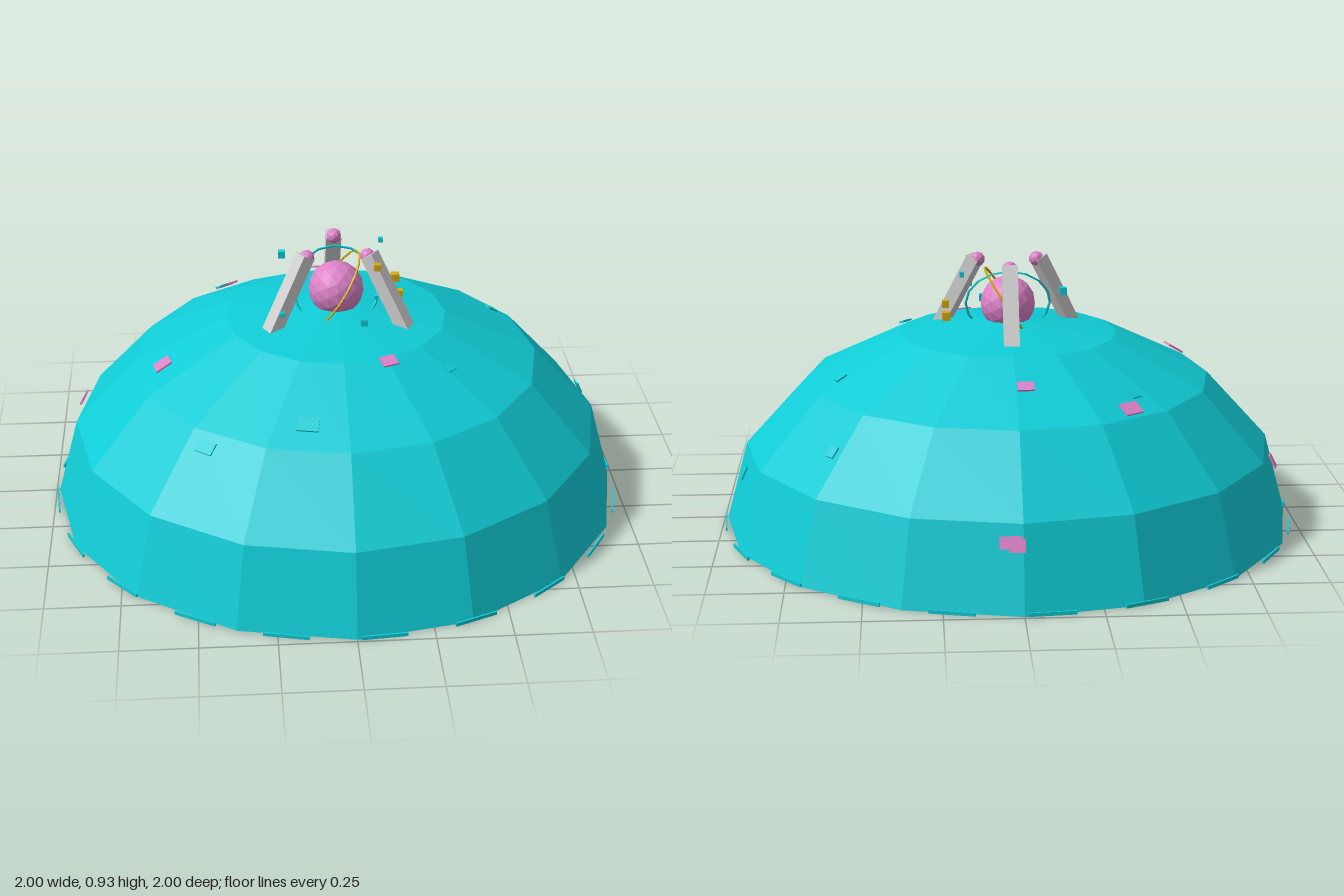
import * as THREE from 'three';

const R = 0.99, H = 0.72; // dome radius and height

function material(name, color, side = THREE.FrontSide) {
  const m = new THREE.MeshStandardMaterial({ color, flatShading: true, side });
  m.name = name;
  return m;
}

export function createModel() {
  const model = new THREE.Group();
  model.name = 'domeGenerator';
  const teal = material('teal', 0x10ccd6);
  const tealShell = material('tealShell', 0x10ccd6, THREE.DoubleSide);
  const pink = material('pink', 0xdd82c8);
  const gold = material('gold', 0xd4ac10);
  const grey = material('lightGrey', 0xd0d0d0);
  const dark = material('darkGrey', 0x222222);

  function add(name, geometry, mat, x = 0, y = 0, z = 0, parent = model) {
    const mesh = new THREE.Mesh(geometry, mat);
    mesh.name = name;
    mesh.position.set(x, y, z);
    parent.add(mesh);
    return mesh;
  }

  // Open faceted dome
  const domeGeo = new THREE.SphereGeometry(R, 16, 4, 0, Math.PI * 2, 0, Math.PI / 2);
  domeGeo.scale(1, H / R, 1);
  add('dome', domeGeo, tealShell);

  // Thin dashes around the rim
  for (let i = 0; i < 20; i++) {
    const a = THREE.MathUtils.degToRad(5 + 18 * i);
    const dash = add('rimDash', new THREE.BoxGeometry(0.15, 0.012, 0.006), teal,
      Math.sin(a) * 0.992, 0.009, Math.cos(a) * 0.992);
    dash.rotation.y = a;
  }

  // Loose plates lying on the dome: x, z, width, height, material
  const plates = [
    [0.04, -0.94, 0.07, 0.04, pink], [0.02, -0.945, 0.05, 0.04, pink],
    [-0.37, -0.55, 0.07, 0.05, pink], [-0.03, -0.53, 0.055, 0.042, pink],
    [-0.9, -0.23, 0.035, 0.05, pink], [-0.6, 0.14, 0.055, 0.06, pink],
    [0.15, 0.36, 0.055, 0.045, pink], [-0.39, -0.48, 0.035, 0.03, teal],
    [0.595, -0.56, 0.035, 0.04, teal], [0.575, -0.22, 0.03, 0.04, teal],
    [0.91, -0.22, 0.03, 0.045, teal], [0.355, 0.35, 0.04, 0.025, teal],
    [-0.13, 0.6, 0.07, 0.05, teal], [-0.46, 0.575, 0.065, 0.045, teal],
  ];
  plates.forEach(([x, z, w, h, mat]) => {
    const y = H * Math.sqrt(1 - (x * x + z * z) / (R * R));
    const plate = add('domePlate', new THREE.BoxGeometry(w, h, 0.006), mat, x, y, z);
    plate.lookAt(x + x / (R * R), y + y / (H * H), z + z / (R * R));
  });

  // Base, tapered column and collar inside the dome
  add('base', new THREE.CylinderGeometry(0.345, 0.355, 0.085, 10), dark, 0, 0.0425, 0);
  const trim = add('baseTrim', new THREE.TorusGeometry(0.34, 0.012, 4, 20), teal, 0, 0.088, 0);
  trim.rotation.x = Math.PI / 2;
  add('column', new THREE.CylinderGeometry(0.09, 0.145, 0.59, 8), grey, 0, 0.375, 0);
  const collar = add('columnCollar', new THREE.TorusGeometry(0.13, 0.016, 6, 12), dark, 0, 0.35, 0);
  collar.rotation.x = Math.PI / 2;

  // Three bent pylons; each is built along +z and turned into place
  function strut(name, parent, z0, y0, z1, y1, w, d) {
    const length = Math.hypot(z1 - z0, y1 - y0);
    const mesh = add(name, new THREE.BoxGeometry(w, length, d), grey,
      0, (y0 + y1) / 2, (z0 + z1) / 2, parent);
    mesh.rotation.x = Math.atan2(z1 - z0, y1 - y0);
  }
  for (const a of [Math.PI / 3, -Math.PI / 3, Math.PI]) {
    const pylon = new THREE.Group();
    pylon.name = 'pylon';
    pylon.rotation.y = a;
    model.add(pylon);
    strut('lowerPylon', pylon, 0.325, 0.08, 0.285, 0.64, 0.042, 0.042);
    strut('upperPylon', pylon, 0.285, 0.63, 0.125, 0.915, 0.052, 0.045);
    add('pylonTip', new THREE.IcosahedronGeometry(0.026, 1), pink, 0, 0.908, 0.118, pylon);
  }

  // Orb with two tilted rings
  add('orb', new THREE.IcosahedronGeometry(0.095, 2), pink, 0, 0.765, 0);
  const ringGeo = new THREE.TorusGeometry(0.146, 0.004, 4, 16);
  add('tealRing', ringGeo, teal, 0, 0.765, 0).rotation.x = -0.55;
  add('goldRing', ringGeo, gold, 0, 0.765, 0).rotation.set(0, Math.PI / 2, -0.58, 'ZYX');

  // Small floating cubes: x, y, z, size, material
  const cubes = [
    [0.13, 0.895, 0.125, 0.022, gold], [0.215, 0.755, 0.035, 0.024, gold],
    [0.215, 0.747, -0.115, 0.028, gold], [0.162, 0.89, -0.115, 0.016, teal],
    [0.08, 0.737, 0.217, 0.023, teal], [-0.18, 0.835, -0.14, 0.024, teal],
    [-0.19, 0.74, 0.15, 0.016, teal], [0.125, 0.8, 0.157, 0.014, teal],
  ];
  cubes.forEach(([x, y, z, s, mat]) => add('floatingCube', new THREE.BoxGeometry(s, s, s), mat, x, y, z));

  return model;
}
